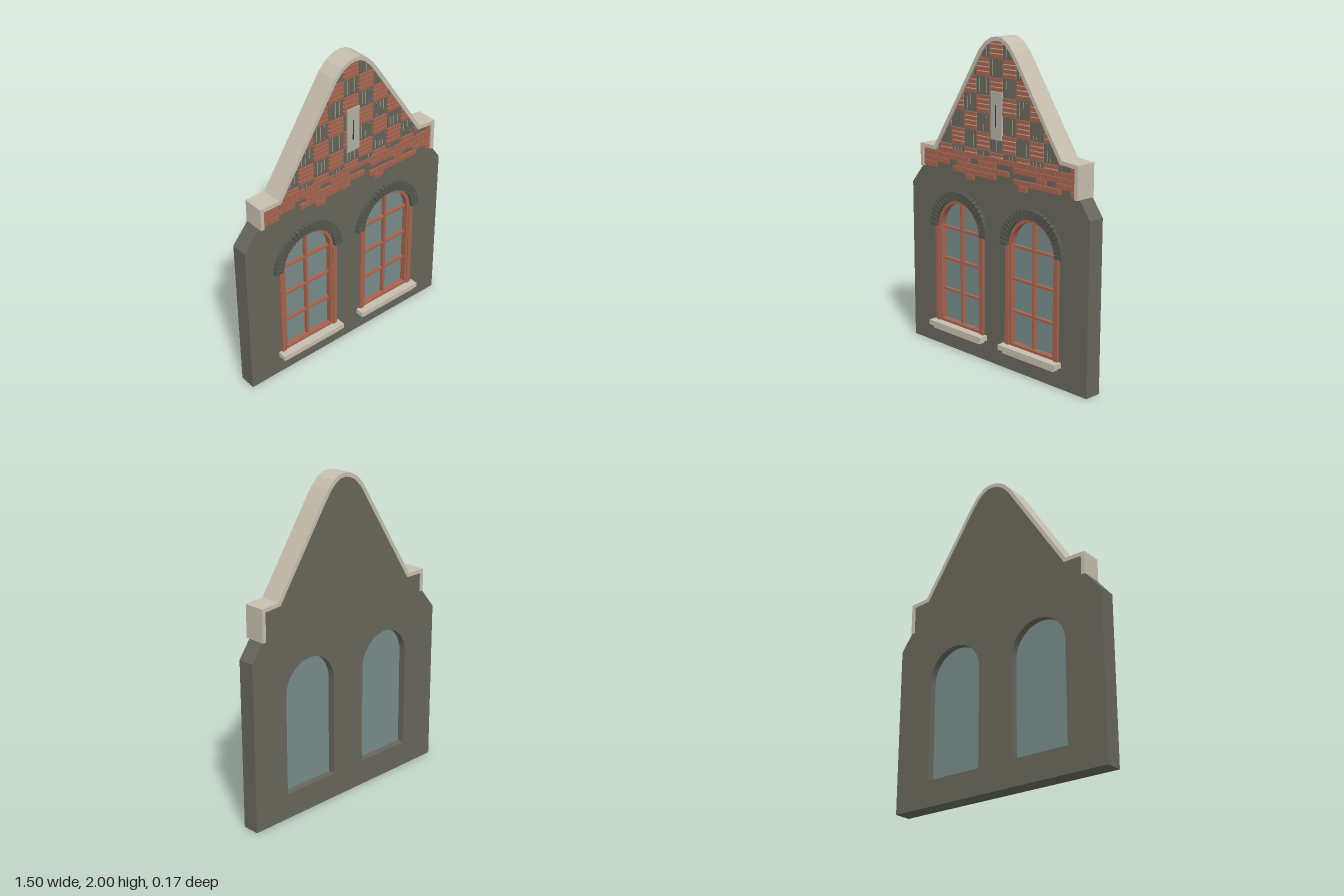
import * as THREE from 'three';
import { mergeGeometries } from 'three/addons/utils/BufferGeometryUtils.js';

const mat = (name, color) => {
  const m = new THREE.MeshStandardMaterial({ color });
  m.name = name;
  return m;
};

export function createModel() {
  const wallMat = mat('dark plaster', 0x66665b);
  const archMat = mat('dark arch brick', 0x55564d);
  const brickMat = mat('red brick', 0xa5644f);
  const stoneMat = mat('pale stone', 0xc6beae);
  const plateMat = mat('grey stone', 0xb3afa2);
  const glassMat = mat('glass', 0x788b89);
  const slitMat = mat('slit shadow', 0x3b3b35);

  const model = new THREE.Group();
  model.name = 'gabledFacade';

  // Helpers: flat prism between two depths, rectangle corners, named mesh
  const toShape = (pts) => new THREE.Shape(pts.map(([x, y]) => new THREE.Vector2(x, y)));
  const prism = (s, z0, z1) => {
    const shape = Array.isArray(s) ? toShape(s) : s;
    return new THREE.ExtrudeGeometry(shape, { depth: z1 - z0, bevelEnabled: false, curveSegments: 20 })
      .translate(0, 0, z0);
  };
  const rect = (x0, x1, y0, y1) => [[x0, y0], [x1, y0], [x1, y1], [x0, y1]];
  const add = (parent, name, geo, material) => {
    const mesh = new THREE.Mesh(Array.isArray(geo) ? mergeGeometries(geo) : geo, material);
    mesh.name = name;
    parent.add(mesh);
    return mesh;
  };

  // Round-headed opening outline
  const SPRING = 0.78;
  const archOutline = (target, cx, r, bottom) => {
    target.moveTo(cx - r, bottom);
    target.lineTo(cx + r, bottom);
    target.lineTo(cx + r, SPRING);
    target.absarc(cx, SPRING, r, 0, Math.PI, false);
    target.lineTo(cx - r, bottom);
    return target;
  };

  // Gable outline, left shoulder over the rounded peak to the right shoulder
  const outer = [
    [-0.645, 1.15], [-0.645, 1.292], [-0.515, 1.292], [-0.11, 1.915], [-0.06, 1.965],
    [-0.01, 1.992], [0.035, 2.0], [0.08, 1.995], [0.125, 1.97], [0.165, 1.93],
    [0.21, 1.87], [0.553, 1.357], [0.675, 1.347], [0.675, 1.15],
  ];
  const edgeNormal = (a, b) => {
    const l = Math.hypot(b[0] - a[0], b[1] - a[1]);
    return [(b[1] - a[1]) / l, (a[0] - b[0]) / l];
  };
  const inset = (pts, t) => pts.map((p, i) => {
    const n1 = edgeNormal(pts[Math.max(i - 1, 0)], pts[Math.max(i, 1)]);
    const last = pts.length - 1;
    const n2 = edgeNormal(pts[Math.min(i, last - 1)], pts[Math.min(i + 1, last)]);
    const k = t / (1 + n1[0] * n2[0] + n1[1] * n2[1]);
    return [p[0] + (n1[0] + n2[0]) * k, p[1] + (n1[1] + n2[1]) * k];
  });
  const inner = inset(outer, 0.024);

  // Wall with two arched openings
  const windowX = [-0.307, 0.315];
  const FRONT = 0.028;
  const wall = toShape([
    [-0.75, 0], [0.75, 0], [0.75, 1.045], [0.672, 1.153], ...inset(outer, 0.012).reverse(),
    [-0.642, 1.153], [-0.75, 1.025],
  ]);
  windowX.forEach((cx) => wall.holes.push(archOutline(new THREE.Path(), cx, 0.19, 0.16)));
  add(model, 'wall', prism(wall, -0.08, FRONT), wallMat);

  // Stone coping band along the gable
  add(model, 'gableCoping', prism([...outer, ...inner.slice().reverse()], -0.085, 0.05), stoneMat);

  // Windows
  windowX.forEach((cx, i) => {
    const win = new THREE.Group();
    win.name = i ? 'leftWindow' : 'rightWindow';
    win.position.x = cx;
    model.add(win);

    add(win, 'glass', prism(archOutline(new THREE.Shape(), 0, 0.19, 0.16), -0.035, -0.005), glassMat);

    const frame = archOutline(new THREE.Shape(), 0, 0.192, 0.158);
    frame.holes.push(archOutline(new THREE.Path(), 0, 0.171, 0.178));
    add(win, 'frame', prism(frame, -0.01, 0.034), brickMat);

    const bars = [prism(rect(-0.008, 0.008, 0.17, 0.945), -0.008, 0.02)];
    [0.375, 0.577, 0.78].forEach((y) =>
      bars.push(prism(rect(-0.175, 0.175, y - 0.007, y + 0.007), -0.008, 0.018)));
    add(win, 'glazingBars', bars, brickMat);

    add(win, 'jambs', [-1, 1].map((s) =>
      prism(rect(s * 0.2 - 0.015, s * 0.2 + 0.015, 0.16, SPRING), 0.01, 0.042)), brickMat);

    // Arch of radial bricks on a thin backing ring
    const ring = new THREE.Shape();
    ring.absarc(0, SPRING, 0.24, 0, Math.PI, false);
    ring.absarc(0, SPRING, 0.192, Math.PI, 0, true);
    add(win, 'archBacking', prism(ring, 0.02, 0.038), archMat);
    const N = 24;
    const stones = [];
    for (let k = 0; k < N; k++) {
      const a = ((k + 0.5) * Math.PI) / N;
      stones.push(prism([[0.194, -0.0105], [0.25, -0.0135], [0.25, 0.0135], [0.194, 0.0105]], 0.02, 0.054)
        .rotateZ(a).translate(0, SPRING, 0));
    }
    add(win, 'archBricks', stones, archMat);

    add(win, 'sill', [
      prism(rect(-0.235, 0.235, 0.13, 0.162), 0, 0.085),
      prism(rect(-0.21, 0.21, 0.11, 0.13), 0, 0.07),
    ], stoneMat);
  });

  // Clip a polygon to the convex gable field
  const field = [...inner.slice(2, 12), [inner[11][0], inner[2][1]]];
  const clip = (poly) => {
    let out = poly;
    field.forEach((a, i) => {
      const b = field[(i + 1) % field.length];
      const side = (p) => (b[1] - a[1]) * (p[0] - a[0]) - (b[0] - a[0]) * (p[1] - a[1]);
      const next = [];
      out.forEach((p, j) => {
        const q = out[(j + 1) % out.length];
        const sp = side(p), sq = side(q);
        if (sp >= 0) next.push(p);
        if (sp * sq < 0) {
          const t = sp / (sp - sq);
          next.push([p[0] + (q[0] - p[0]) * t, p[1] + (q[1] - p[1]) * t]);
        }
      });
      out = next;
    });
    return out;
  };

  // Basket-weave field: red cells lie flat, dark cells stand upright
  const red = [], dark = [], joints = [];
  const CELL = 0.11, FIELD_BOTTOM = 1.29;
  const place = (list, r, z) => {
    r[2] = Math.max(r[2], FIELD_BOTTOM);
    if (r[3] - r[2] < 0.002) return;
    const p = clip(rect(...r));
    if (p.length > 2) list.push(prism(p, 0.02, z));
  };
  for (let row = -5; row <= 1; row++) {
    for (let col = -5; col <= 5; col++) {
      const x = -0.035 + col * CELL, y = 1.763 + row * CELL;
      const flat = (row + col) % 2 !== 0;
      for (let k = 0; k < 4; k++) {
        const a = (k * CELL) / 4 + 0.003, b = ((k + 1) * CELL) / 4 - 0.003;
        if (flat) place(red, [x + 0.002, x + CELL - 0.002, y + a, y + b], 0.042);
        else place(dark, [x + a, x + b, y + 0.002, y + CELL - 0.002], 0.038);
        if (k === 3) continue;
        if (flat) place(joints, [x + 0.004, x + CELL - 0.004, y + b, y + b + 0.006], 0.034);
        else place(joints, [x + b, x + b + 0.006, y + 0.01, y + CELL - 0.01], 0.034);
      }
    }
  }
  add(model, 'flatWeaveBricks', red, brickMat);
  add(model, 'uprightWeaveBricks', dark, wallMat);
  add(model, 'weaveJoints', joints, stoneMat);

  // Worn brick courses under the field
  const courses = [
    '.................#',
    '##################',
    '######.##..#######',
    '###.######...#.###',
    '##..#####..#####.#',
    '.....#.....#......',
  ];
  const band = [];
  const LEFT = -0.62, RIGHT = 0.65, LEN = 0.0747, H = 0.0337;
  courses.forEach((line, r) => {
    const top = 1.324 - r * H;
    [...line].forEach((c, i) => {
      const x0 = Math.max(LEFT, LEFT + (i - (r % 2 ? 0 : 0.5)) * LEN);
      const x1 = Math.min(RIGHT, LEFT + (i + (r % 2 ? 1 : 0.5)) * LEN);
      const y1 = x0 < -0.5 ? Math.min(top, 1.268) : top;
      if (c === '#' && x1 - x0 > 0.01 && y1 - top + H > 0.008)
        band.push(prism(rect(x0 + 0.002, x1 - 0.002, top - H + 0.002, y1 - 0.001), 0.02, 0.042));
    });
  });
  add(model, 'brickCourses', band, brickMat);

  // Stone plate with a narrow slit
  add(model, 'slitPlate', prism(rect(-0.015, 0.075, 1.4, 1.682), 0.02, 0.048), plateMat);
  add(model, 'slit', prism(rect(0.024, 0.031, 1.475, 1.605), 0.047, 0.0495), slitMat);

  return model;
}
